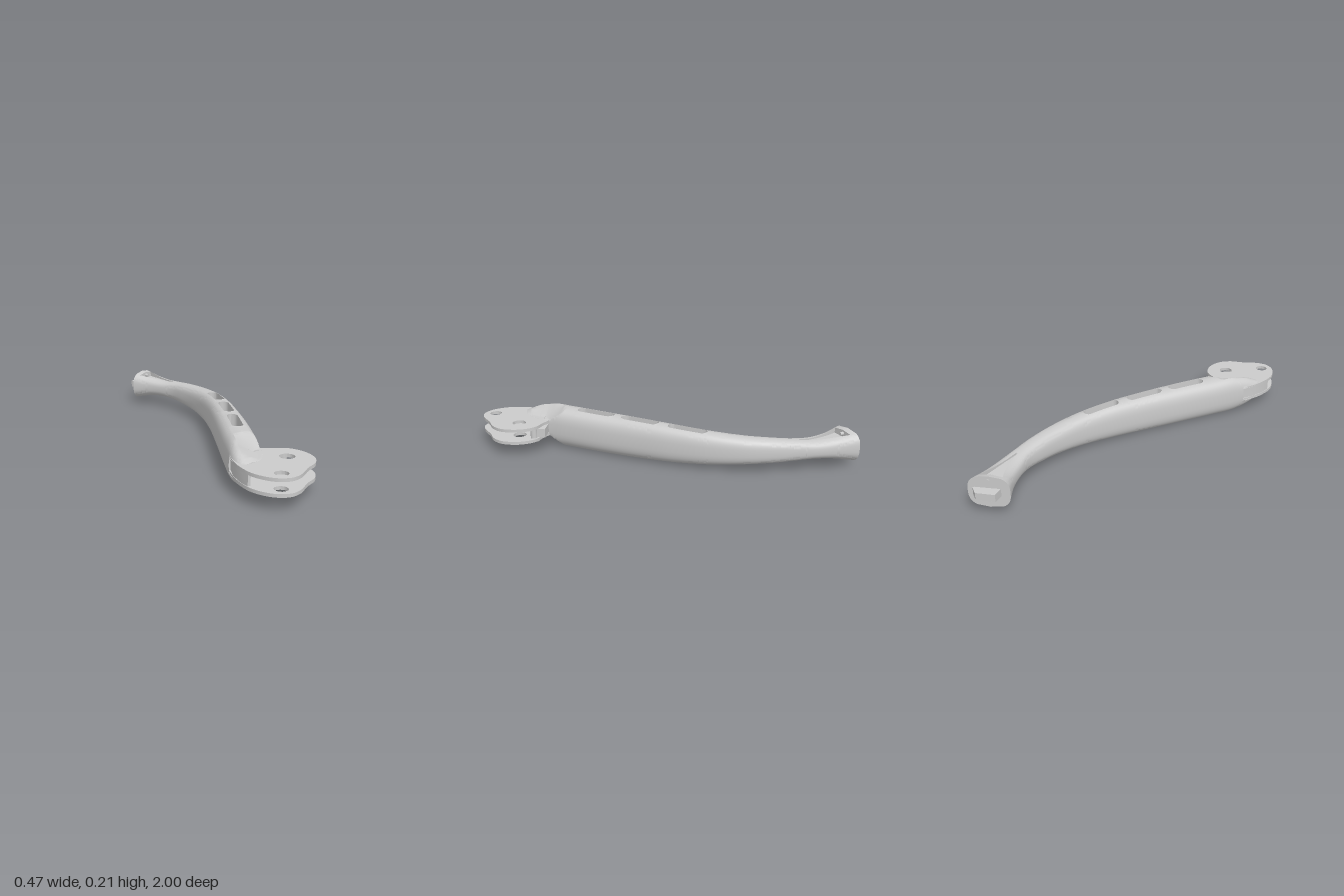
import * as THREE from 'three';
import { toCreasedNormals } from 'three/addons/utils/BufferGeometryUtils.js';

const MID = 0.105; // height of the symmetry plane
const EXP = 2.8; // roundness of the grip cross-section
const clamp = THREE.MathUtils.clamp;
const mapLinear = THREE.MathUtils.mapLinear;

// Grip stations from clevis to tip: left x, z, right x, z, half height
const stations = [
  [-0.24, 0.79, -0.1, 0.76, 0.044], [-0.225, 0.69, -0.06, 0.69, 0.084],
  [-0.195, 0.6, -0.035, 0.62, 0.104], [-0.149, 0.475, 0, 0.53, 0.105],
  [-0.077, 0.29, 0.066, 0.35, 0.104], [0, 0.09, 0.133, 0.14, 0.101],
  [0.06, -0.08, 0.185, -0.04, 0.095], [0.108, -0.265, 0.224, -0.235, 0.083],
  [0.124, -0.42, 0.234, -0.42, 0.07], [0.12, -0.54, 0.22, -0.565, 0.061],
  [0.105, -0.64, 0.2, -0.67, 0.053], [0.065, -0.73, 0.178, -0.78, 0.048],
  [0.015, -0.81, 0.15, -0.88, 0.058], [-0.045, -0.878, 0.12, -0.99, 0.081],
];
const LAST = stations.length - 1;
const leftEdge = new THREE.CatmullRomCurve3(stations.map((s) => new THREE.Vector3(s[0], s[4], s[1])));
const rightEdge = new THREE.CatmullRomCurve3(stations.map((s) => new THREE.Vector3(s[2], s[4], s[3])));

// Slots along the grip, as [start, end] in station units
const slots = [[3.25, 4.29], [4.51, 5.54], [5.84, 6.9]];
const SLOT_R = 0.027, END_R = 0.135;

function slotHalfWidth(t) {
  for (const [a, b] of slots) {
    if (t <= a || t >= b) continue;
    const e = Math.max(0, a + END_R - t, t - (b - END_R)) / END_R;
    return SLOT_R * Math.sqrt(1 - e * e);
  }
  return 0;
}

// Half width of the flat band, which becomes the tip pocket
function bandWidth(t) {
  if (t < 7.5) return 0.5;
  if (t < 10.3) return mapLinear(t, 7.5, 10.3, 0.5, 0.08);
  return Math.min(0.62, mapLinear(t, 10.3, 12.7, 0.08, 0.62));
}

// Closed loop for one half of the grip at station t
function halfSection(t, side, lo, hi) {
  const L = leftEdge.getPoint(t / LAST), R = rightEdge.getPoint(t / LAST);
  const c = L.clone().add(R).multiplyScalar(0.5);
  const half = R.clone().sub(L).multiplyScalar(0.5);
  const hh = L.y;
  const h = slotHalfWidth(t) / Math.hypot(half.x, half.z);
  const q = bandWidth(t);
  const inPocket = t > 10.3 && t < 12.72;
  const height = (u) => hh * Math.pow(1 - Math.pow(u, EXP), 1 / EXP);
  const floor = (u) => (inPocket ? Math.min(height(u), 0.04) : height(u));
  const pts = [[h, floor(h)], [q, floor(q)]];
  const a0 = Math.acos(Math.pow(q, EXP / 2)), N = 16;
  for (let i = 0; i <= N; i++) {
    const a = a0 * (1 - (2 * i) / N);
    pts.push([Math.pow(Math.cos(a), 2 / EXP), hh * Math.sign(a) * Math.pow(Math.abs(Math.sin(a)), 2 / EXP)]);
  }
  pts.push([q, -floor(q)], [h, -floor(h)]);
  return pts.map(([u, y]) => {
    const x = c.x + side * u * half.x, z = c.z + side * u * half.z;
    // round scoop that lowers the grip onto the clevis plates
    const r = Math.hypot(x - 0.02, z - 0.77);
    const cap = r < 0.25 ? 0.043 + 0.062 * clamp((r - 0.16) / 0.09, 0, 1) : 1;
    return new THREE.Vector3(x, MID + clamp(clamp(y, -cap, cap), lo, hi), z);
  });
}

// Loft both halves between two stations, with end caps and slot walls
function loft(t0, t1, step, lo = -1, hi = 1) {
  const pos = [];
  const count = Math.round((t1 - t0) / step);
  for (const side of [1, -1]) {
    const tri = (a, b, c) => {
      for (const p of side > 0 ? [a, b, c] : [a, c, b]) pos.push(p.x, p.y, p.z);
    };
    const cap = (ring, front) => {
      const c = ring[0].clone().add(ring[ring.length - 1]).multiplyScalar(0.5);
      for (let j = 0; j + 1 < ring.length; j++) {
        if (front) tri(c, ring[j + 1], ring[j]);
        else tri(c, ring[j], ring[j + 1]);
      }
    };
    let prev = halfSection(t0, side, lo, hi), prevT = t0;
    cap(prev, true);
    for (let i = 1; i <= count; i++) {
      const t = t0 + ((t1 - t0) * i) / count;
      const ring = halfSection(t, side, lo, hi);
      const open = slotHalfWidth(t) + slotHalfWidth(prevT) > 0;
      const n = ring.length;
      for (let j = 0; j < (open ? n : n - 1); j++) {
        const k = (j + 1) % n;
        tri(prev[j], prev[k], ring[k]);
        tri(prev[j], ring[k], ring[j]);
      }
      prev = ring;
      prevT = t;
    }
    cap(prev, false);
  }
  const g = new THREE.BufferGeometry();
  g.setAttribute('position', new THREE.Float32BufferAttribute(pos, 3));
  return toCreasedNormals(g, 0.6);
}

// Flat slab from an outline in x, z, between two heights
function slab(shape, y0, y1) {
  const g = new THREE.ExtrudeGeometry(shape, { depth: y1 - y0, bevelEnabled: false, curveSegments: 24 });
  g.rotateX(Math.PI / 2).translate(0, y1, 0);
  return toCreasedNormals(g, 0.6);
}
const polygon = (pts) => new THREE.Shape(pts.map(([x, z]) => new THREE.Vector2(x, z)));

function plateShape() {
  const outline = [[-0.04, 0.62], [0, 0.643], [0.065, 0.67], [0.11, 0.74], [0.11, 0.835], [0.07, 0.895],
    [0.01, 0.93], [-0.065, 0.985], [-0.12, 0.998], [-0.18, 0.97], [-0.23, 0.89], [-0.24, 0.8],
    [-0.228, 0.71], [-0.19, 0.62], [-0.11, 0.6]];
  const curve = new THREE.CatmullRomCurve3(outline.map(([x, z]) => new THREE.Vector3(x, z, 0)), true);
  const shape = new THREE.Shape(curve.getPoints(80).slice(0, -1).map((p) => new THREE.Vector2(p.x, p.y)));
  for (const [x, z, r] of [[0.01, 0.77, 0.035], [-0.127, 0.937, 0.031]]) {
    shape.holes.push(new THREE.Path().absarc(x, z, r, 0, Math.PI * 2, true));
  }
  return shape;
}

export function createModel() {
  const group = new THREE.Group();
  const material = new THREE.MeshStandardMaterial({ color: 0xcccccc });
  const add = (name, geometry) => {
    const mesh = new THREE.Mesh(geometry, material);
    mesh.name = name;
    group.add(mesh);
    return mesh;
  };

  // Curved grip with slots, and shoulders running onto the plates
  add('grip', loft(1.5, LAST, 0.02));
  add('upperShoulder', loft(0, 1.52, 0.04, 0.036, 1));
  add('lowerShoulder', loft(0, 1.52, 0.04, -1, -0.036));

  // Web closing the slot nearest the tip
  const mid = (t) => leftEdge.getPoint(t / LAST).add(rightEdge.getPoint(t / LAST)).multiplyScalar(0.5);
  const a = mid(5.86), b = mid(6.88);
  const web = add('slotWeb', new THREE.BoxGeometry(0.07, 0.05, a.distanceTo(b)));
  web.position.set((a.x + b.x) / 2, MID, (a.z + b.z) / 2);
  web.rotation.y = Math.atan2(a.x - b.x, a.z - b.z);

  // Clevis plates with pivot holes
  const plate = plateShape();
  add('upperPlate', slab(plate, 0.131, 0.147));
  add('lowerPlate', slab(plate, 0.063, 0.079));

  // Parts between and under the plates
  add('sideWall', slab(polygon([[-0.2, 0.64], [-0.23, 0.72], [-0.239, 0.8], [-0.235, 0.85],
    [-0.221, 0.85], [-0.225, 0.8], [-0.213, 0.72], [-0.175, 0.64]]), 0.075, 0.135));
  const block = add('stopBlock', new THREE.BoxGeometry(0.12, 0.046, 0.06));
  block.position.set(-0.015, MID, 0.655);
  const stop = add('stopRoller', new THREE.CylinderGeometry(0.017, 0.017, 0.055, 24));
  stop.position.set(0.045, MID, 0.685);
  const pin = add('lowerPin', new THREE.CylinderGeometry(0.021, 0.021, 0.022, 24));
  pin.position.set(-0.003, 0.055, 0.69);

  // Lug projecting from the tip, and small pins through the end wall
  add('tipLug', slab(polygon([[-0.028, -0.95], [0.05, -1], [0.095, -0.98], [0.09, -0.93], [0, -0.88]]), 0.088, 0.125));
  for (const s of [1, -1]) {
    const endPin = add('endPin', new THREE.CylinderGeometry(0.009, 0.009, 0.05, 16).rotateX(Math.PI / 2));
    endPin.position.set(0.05, MID + s * 0.056, -0.916);
    endPin.rotation.y = Math.atan2(0.56, 0.83);
  }
  return group;
}
